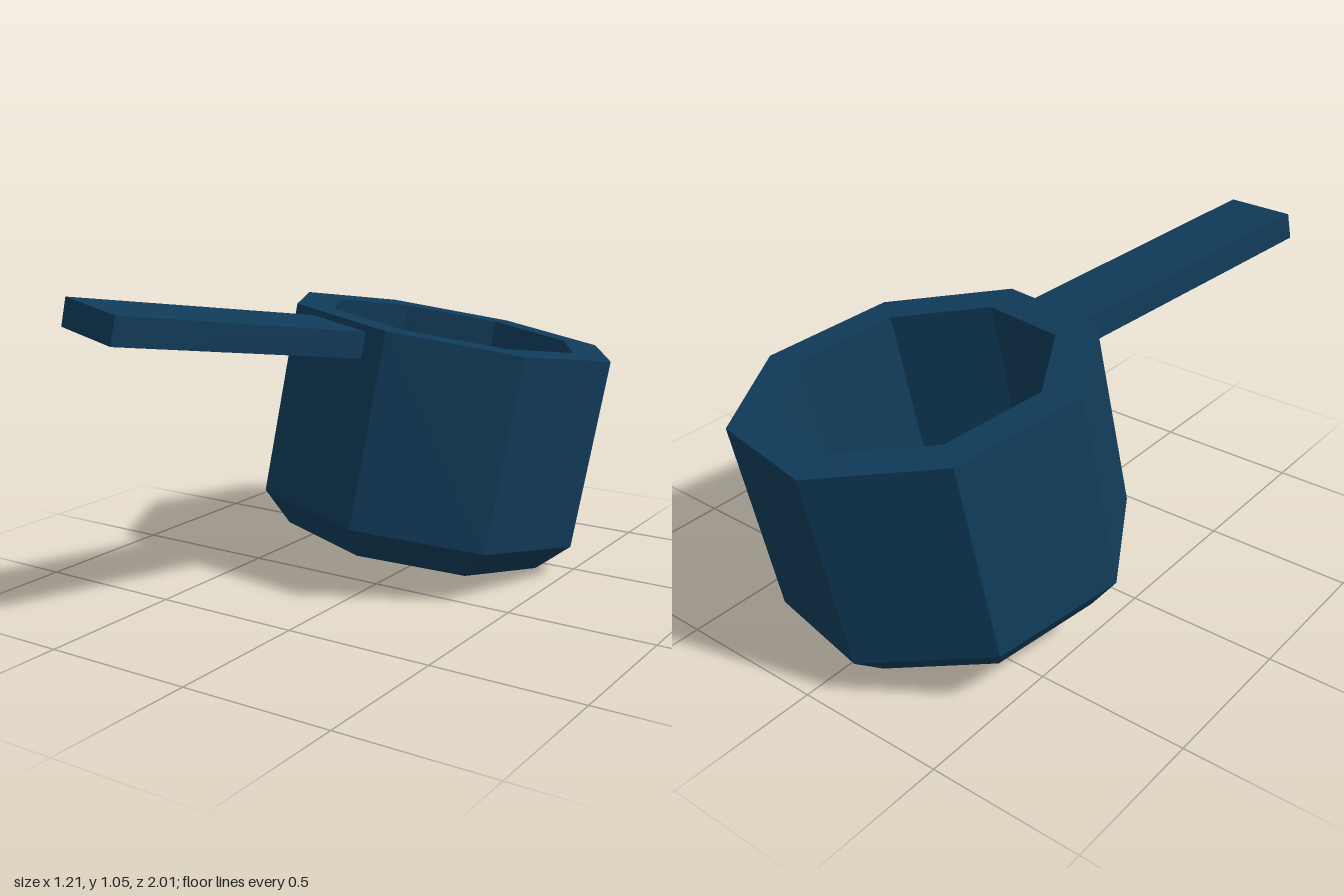
import * as THREE from 'three';

export function createModel() {
  const model = new THREE.Group();
  model.name = 'saucepan';
  const navy = new THREE.MeshStandardMaterial({ color: 0x103b59, flatShading: true });
  navy.name = 'navy enamel';

  // Tilted frame: origin at the rim centre, y along the pan axis, z along the handle
  const pan = new THREE.Group();
  pan.name = 'tiltedPan';
  const up = new THREE.Vector3(0.131, 0.983, -0.127).normalize();
  const out = new THREE.Vector3(-0.249, 0.157, 0.956);
  out.addScaledVector(up, -out.dot(up)).normalize();
  const side = new THREE.Vector3().crossVectors(up, out);
  pan.quaternion.setFromRotationMatrix(new THREE.Matrix4().makeBasis(side, up, out));
  pan.position.set(0.04, 0.835, -0.435);
  model.add(pan);

  // Eight-sided bowl: base, chamfer, outer wall, rim, inner wall, floor
  const profile = [
    [0, -0.758], [0.47, -0.758], [0.575, -0.65], [0.575, 0],
    [0.443, 0], [0.443, -0.63], [0, -0.63],
  ].map(([r, y]) => new THREE.Vector2(r, y));
  const bowl = new THREE.Mesh(new THREE.LatheGeometry(profile, 8, Math.PI / 8), navy);
  bowl.name = 'bowl';
  pan.add(bowl);

  // Straight handle, set into the wall just under the rim
  const start = 0.47, end = 1.455, thick = 0.087;
  const handle = new THREE.Mesh(new THREE.BoxGeometry(0.264, thick, end - start), navy);
  handle.name = 'handle';
  handle.position.set(0, -0.021 - thick / 2, (start + end) / 2);
  pan.add(handle);

  return model;
}
